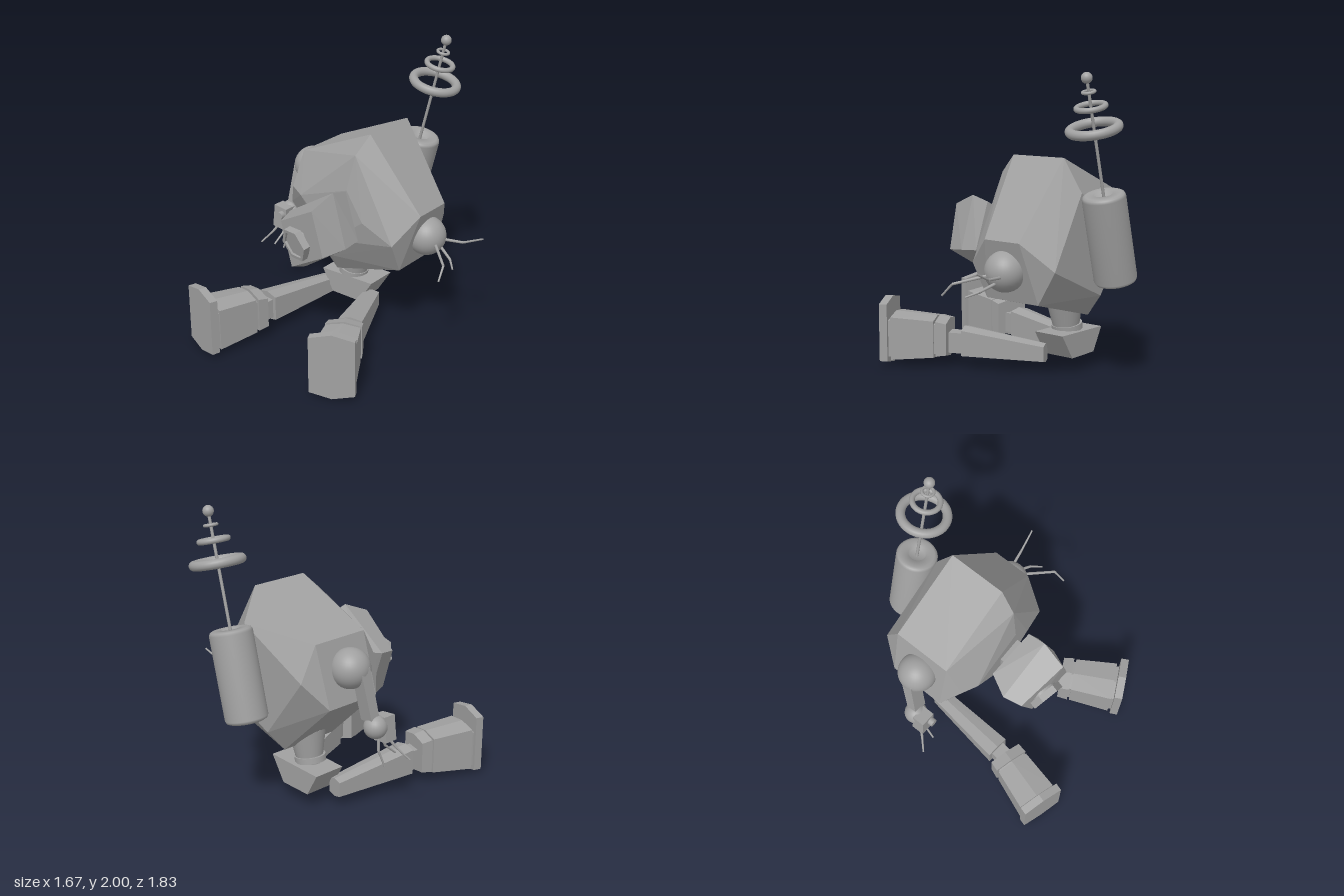
import * as THREE from 'three';
import { ConvexGeometry } from 'three/addons/geometries/ConvexGeometry.js';

const metal = new THREE.MeshStandardMaterial({ color: 0xa0a0a0 });
metal.name = 'grey metal';

const V = (p) => new THREE.Vector3(...p);

function add(parent, name, geometry, position = [0, 0, 0]) {
  const mesh = new THREE.Mesh(geometry, metal);
  mesh.name = name;
  mesh.position.set(...position);
  parent.add(mesh);
  return mesh;
}

function group(parent, name, position = [0, 0, 0]) {
  const g = new THREE.Group();
  g.name = name;
  g.position.set(...position);
  parent.add(g);
  return g;
}

// Faceted solid around a few corner points
const hull = (points) => new ConvexGeometry(points.map(V));

// Tapered rod from a to b
function rod(parent, name, a, b, r0, r1, sides = 8) {
  const from = V(a), to = V(b), dir = to.clone().sub(from);
  const mesh = add(parent, name, new THREE.CylinderGeometry(r1, r0, dir.length(), sides));
  mesh.position.copy(from).add(to).multiplyScalar(0.5);
  mesh.quaternion.setFromUnitVectors(new THREE.Vector3(0, 1, 0), dir.normalize());
  return mesh;
}

function finger(parent, points) {
  for (let i = 0; i < points.length - 1; i++) {
    rod(parent, 'finger', points[i], points[i + 1], 0.011 - i * 0.003, 0.009 - i * 0.003);
  }
}

// Six-sided section across z: width w, height lo..hi, with peaked top and bottom
function section(z, w, lo, hi, peak) {
  const x = w / 2;
  return [[-x, lo + peak, z], [0, lo, z], [x, lo + peak, z], [x, hi - peak, z], [0, hi, z], [-x, hi - peak, z]];
}

function addBody(root) {
  const points = [];
  // Outline corners with the two depths of each
  const outline = [
    [-0.46, 1.21, -0.07, -0.48], [0.116, 1.46, -0.07, -0.48], [0.485, 0.95, -0.135, -0.415],
    [0.375, 0.55, -0.06, -0.48], [-0.158, 0.40, -0.06, -0.48], [-0.57, 0.80, -0.06, -0.46],
  ];
  for (const [x, y, front, back] of outline) points.push([x, y, front], [x, y, back]);
  // Raised front and flat back
  points.push([-0.46, 0.98, 0.05], [0.39, 0.77, 0.05], [0.085, 1.34, 0.05], [-0.13, 0.54, 0.03]);
  points.push([-0.35, 0.96, 0.1], [0.18, 0.9, 0.1], [0.05, 1.1, 0.1], [-0.08, 0.7, 0.1]);
  points.push([-0.46, 0.98, -0.6], [0.36, 0.77, -0.6], [0.085, 1.24, -0.6], [-0.13, 0.55, -0.6]);
  add(root, 'body', hull(points));
}

function addHead(root) {
  const head = group(root, 'head');
  add(head, 'neck', new THREE.BoxGeometry(0.18, 0.14, 0.14), [-0.02, 0.89, 0.12]);
  add(head, 'headShell', hull([
    [-0.295, 0.92, 0.27], [-0.265, 0.90, 0.40], [-0.22, 0.95, 0.12],
    [0.10, 1.165, 0.30], [0.07, 1.09, 0.48], [0.10, 1.13, 0.17],
    [0.21, 0.80, 0.31], [0.15, 0.78, 0.47], [0.21, 0.81, 0.18],
    [-0.17, 0.54, 0.27], [-0.16, 0.60, 0.42], [-0.10, 0.61, 0.10],
  ]));
  // Hexagonal eye: rim, lens and centre
  const eye = group(head, 'eye', [-0.07, 0.82, 0.445]);
  eye.lookAt(-0.27, 0.62, 1.405);
  const hex = new THREE.Shape(), hole = new THREE.Path();
  for (let i = 0; i < 6; i++) {
    const a = (i * Math.PI) / 3 + 0.1;
    hex[i ? 'lineTo' : 'moveTo'](0.12 * Math.cos(a), 0.12 * Math.sin(a));
    hole[i ? 'lineTo' : 'moveTo'](0.095 * Math.cos(a), 0.095 * Math.sin(a));
  }
  hex.holes.push(hole);
  add(eye, 'eyeRim', new THREE.ExtrudeGeometry(hex, { depth: 0.05, bevelEnabled: false }));
  const lens = add(eye, 'eyeLens', new THREE.CylinderGeometry(0.095, 0.095, 0.06, 6), [0, 0, 0.005]);
  lens.rotation.set(Math.PI / 2, -Math.PI / 6, 0);
}

function addArms(root) {
  // Lowered right arm
  const right = group(root, 'rightArm');
  add(right, 'shoulderBall', new THREE.SphereGeometry(0.132, 32, 20), [-0.54, 1.025, -0.26]);
  add(right, 'armBar', hull([
    [-0.665, 1.05, -0.29], [-0.57, 1.05, -0.29], [-0.665, 1.05, -0.21], [-0.57, 1.05, -0.21],
    [-0.71, 0.69, -0.23], [-0.61, 0.69, -0.23], [-0.71, 0.69, -0.16], [-0.61, 0.69, -0.16],
  ]));
  add(right, 'wristBall', new THREE.SphereGeometry(0.078, 24, 16), [-0.69, 0.65, -0.18]);
  const palm = add(right, 'palm', new THREE.BoxGeometry(0.11, 0.17, 0.09), [-0.70, 0.63, -0.11]);
  palm.rotation.z = -0.12;
  rod(right, 'palmKnob', [-0.675, 0.66, -0.12], [-0.675, 0.66, -0.03], 0.028, 0.028, 20);
  finger(right, [[-0.73, 0.57, -0.11], [-0.77, 0.50, -0.07], [-0.835, 0.415, -0.01]]);
  finger(right, [[-0.70, 0.57, -0.13], [-0.70, 0.50, -0.10], [-0.715, 0.43, -0.02]]);
  finger(right, [[-0.69, 0.57, -0.15], [-0.70, 0.48, -0.16], [-0.72, 0.36, -0.12]]);

  // Left arm drawn into the body, only the fingers reach out
  const left = group(root, 'leftArm');
  add(left, 'shoulderBall', new THREE.SphereGeometry(0.134, 32, 20), [0.445, 0.755, -0.27]);
  finger(left, [[0.54, 0.735, -0.32], [0.69, 0.745, -0.345], [0.83, 0.805, -0.365]]);
  finger(left, [[0.54, 0.70, -0.29], [0.66, 0.65, -0.24], [0.72, 0.62, -0.18]]);
  finger(left, [[0.54, 0.74, -0.23], [0.72, 0.69, -0.07], [0.735, 0.61, 0.005]]);
}

function addBackpack(root) {
  const pack = group(root, 'backpack', [0.05, 1.245, -0.74]);
  pack.rotation.z = -0.255;
  // Tank with rounded rims and a dimple for the antenna
  const profile = [[0, -0.6], [0.115, -0.6], [0.132, -0.592], [0.14, -0.575], [0.14, -0.025],
    [0.132, -0.008], [0.115, 0], [0.06, 0], [0.055, -0.03], [0, -0.03]];
  add(pack, 'tank', new THREE.LatheGeometry(profile.map(([x, y]) => new THREE.Vector2(x, y)), 40));
  rod(pack, 'antennaRod', [0, -0.03, 0], [0, 0.745, 0], 0.01, 0.01, 12);
  for (const [y, radius, tube] of [[0.425, 0.151, 0.031], [0.563, 0.09, 0.018], [0.657, 0.038, 0.01]]) {
    add(pack, 'antennaRing', new THREE.TorusGeometry(radius, tube, 16, 40), [0, y, 0]).rotation.x = Math.PI / 2;
  }
  add(pack, 'antennaBall', new THREE.SphereGeometry(0.036, 24, 16), [0, 0.745, 0]);
}

function addHips(root) {
  const hips = group(root, 'hips');
  rod(hips, 'waist', [-0.185, 0.26, -0.285], [-0.155, 0.50, -0.285], 0.083, 0.127, 32);
  rod(hips, 'waistRing', [-0.192, 0.275, -0.285], [-0.185, 0.315, -0.285], 0.105, 0.105, 32);
  const points = [];
  for (const z of [-0.42, -0.19]) {
    points.push([-0.40, 0.27, z], [0.04, 0.28, z], [-0.31, 0.11, z], [-0.07, 0.11, z]);
  }
  add(hips, 'pelvis', hull(points));
}

// Straight leg: tapered thigh, knee pin, cuffs, shin and upright sole
function addLeg(root, name, hip, knee, ankle, angle) {
  const leg = group(root, name);
  const dx = knee[0] - hip[0], dz = knee[1] - hip[1];
  const thigh = group(leg, 'thigh', [hip[0], 0, hip[1]]);
  thigh.rotation.y = Math.atan2(dx, dz);
  const length = Math.hypot(dx, dz);
  add(thigh, 'thighBar', hull([
    ...section(0, 0.11, 0.07, 0.20, 0.015), ...section(length - 0.06, 0.165, 0.07, 0.285, 0.02),
  ]));
  add(thigh, 'kneePin', new THREE.BoxGeometry(0.11, 0.14, 0.2), [0, 0.17, length]);

  const boot = group(leg, 'boot', [ankle[0], 0, ankle[1]]);
  boot.rotation.y = angle;
  const parts = [
    ['cuff', [0, 0.235, 0.07, 0.335, 0.025], [0.075, 0.245, 0.06, 0.35, 0.025]],
    ['cuffGap', [0.07, 0.21, 0.08, 0.32, 0.02], [0.1, 0.21, 0.08, 0.32, 0.02]],
    ['shin', [0.09, 0.235, 0.055, 0.345, 0.02], [0.385, 0.275, 0.03, 0.365, 0.02]],
    ['soleGap', [0.38, 0.25, 0.05, 0.34, 0.02], [0.41, 0.25, 0.05, 0.34, 0.02]],
    ['sole', [0.405, 0.30, 0.005, 0.47, 0.035], [0.46, 0.30, 0.005, 0.47, 0.035]],
  ];
  for (const [part, a, b] of parts) add(boot, part, hull([...section(...a), ...section(...b)]));
}

export function createModel() {
  const root = new THREE.Group();
  root.name = 'sittingRobot';
  addBody(root);
  addHead(root);
  addArms(root);
  addBackpack(root);
  addHips(root);
  addLeg(root, 'rightLeg', [-0.39, -0.25], [-0.462, 0.41], [-0.463, 0.425], -0.291);
  addLeg(root, 'leftLeg', [0.0, -0.25], [0.245, 0.33], [0.26, 0.37], 0.478);
  return root;
}
